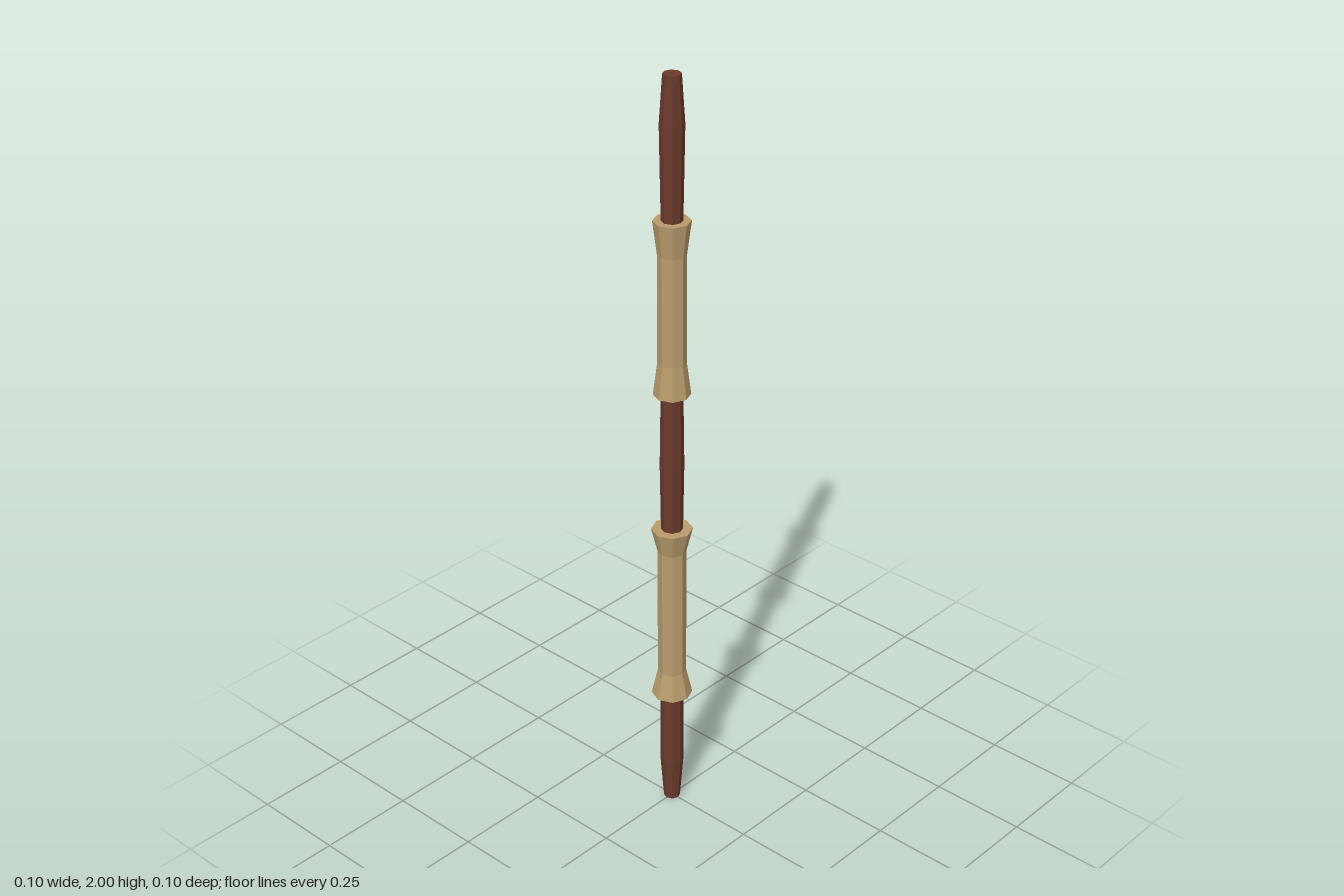
import * as THREE from 'three';

// Eight-sided turned part from [radius, height] pairs, bottom to top
function turned(name, profile, color) {
  const points = profile.map(([r, y]) => new THREE.Vector2(r, y));
  const mesh = new THREE.Mesh(
    new THREE.LatheGeometry(points, 8),
    new THREE.MeshStandardMaterial({ color, flatShading: true })
  );
  mesh.name = name;
  return mesh;
}

// Sleeve with flared lips and flat ends that meet the shaft
function sleeve(name, bottom, lowNeck, highNeck, top, lip, waist) {
  const inner = 0.02;
  return turned(name, [
    [inner, bottom], [lip, bottom], [waist, lowNeck],
    [waist, highNeck], [lip, top], [inner, top],
  ], 0xb99c6d);
}

export function createModel() {
  const group = new THREE.Group();
  group.name = 'staff';

  // Wooden shaft with tapered tips
  group.add(turned('shaft', [
    [0, 0], [0.021, 0], [0.03, 0.12], [0.029, 0.4], [0.027, 0.8],
    [0.03, 1.0], [0.027, 1.22], [0.026, 1.64], [0.03, 1.88], [0.022, 2], [0, 2],
  ], 0x6a3a2b));

  // Two wrapped grips
  group.add(sleeve('lowerGrip', 0.33, 0.4, 0.755, 0.82, 0.052, 0.036));
  group.add(sleeve('upperGrip', 1.195, 1.28, 1.56, 1.645, 0.046, 0.035));
  return group;
}
